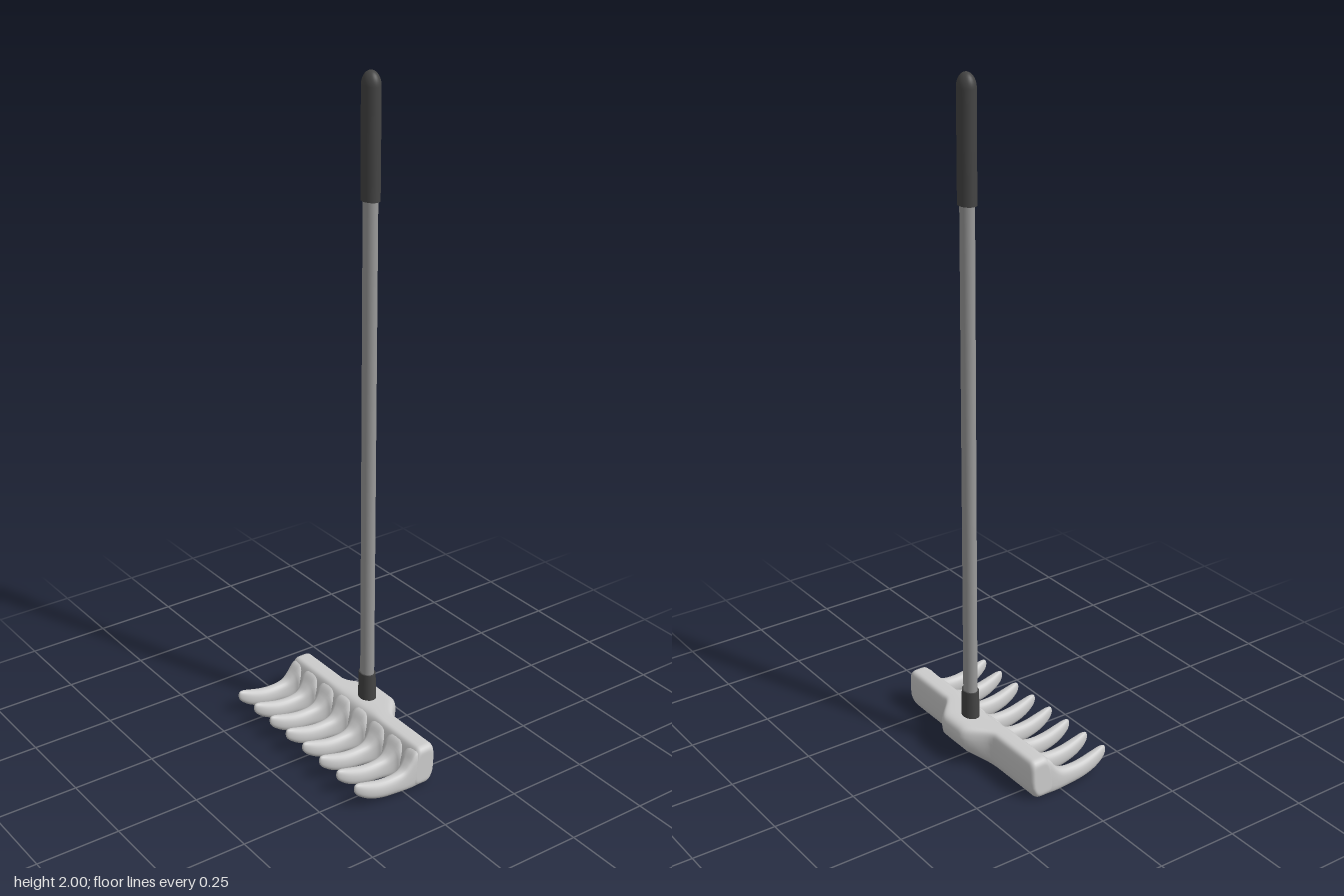
import * as THREE from 'three';

const { smoothstep, clamp } = THREE.MathUtils;
const headMat = new THREE.MeshStandardMaterial({ color: 0xcccccc });
const shaftMat = new THREE.MeshStandardMaterial({ color: 0x999999 });
const gripMat = new THREE.MeshStandardMaterial({ color: 0x444444 });

const HALF = 0.317, PITCH = 0.085, TINE_W = 0.0195, POLE_Z = -0.098;

// Skin over closed rings of equal length, smooth all round
function loft(rings) {
  const n = rings[0].length, index = [];
  for (let i = 0; i < rings.length - 1; i++) {
    for (let j = 0; j < n; j++) {
      const a = i * n + j, d = i * n + (j + 1) % n;
      index.push(a, a + n, d, a + n, d + n, d);
    }
  }
  const geo = new THREE.BufferGeometry();
  geo.setAttribute('position', new THREE.Float32BufferAttribute(rings.flat(2), 3));
  geo.setIndex(index);
  geo.computeVertexNormals();
  return geo;
}

// Points of a unit superellipse; a higher power gives a squarer shape
function oval(n, power) {
  const f = v => Math.sign(v) * Math.abs(v) ** (2 / power);
  return Array.from({ length: n }, (_, j) => {
    const a = (j / n) * Math.PI * 2;
    return [f(Math.cos(a)), f(Math.sin(a))];
  });
}

// Crossbar section at x, shrunk by s, with the socket bulge at the back
function barRing(x, s) {
  const bulge = 0.059 * (1 - smoothstep(Math.abs(x), 0.04, 0.13));
  return oval(48, 4.5).map(([c, d]) => {
    const y = 0.067 + 0.063 * d * s;
    const front = -0.028 - 0.016 * smoothstep(y, 0.05, 0.13);
    const back = -0.108 + 0.012 * (1 - smoothstep(y, 0, 0.06)) - bulge * smoothstep(y, -0.015, 0.085);
    const mid = (front + back) / 2;
    return [x, y, mid + ((front - back) / 2) * c * s];
  });
}

function crossbar() {
  const rings = [], r = 0.02, end = [[HALF, 0.001], [HALF, 0.6]];
  for (let k = 0; k <= 6; k++) {
    const a = (k / 6) * Math.PI / 2;
    end.push([HALF - r * (1 - Math.cos(a)), 1 - 0.3 * (1 - Math.sin(a))]);
  }
  end.forEach(([x, s]) => rings.push(barRing(-x, s)));
  for (let i = 1; i < 60; i++) rings.push(barRing((HALF - r) * (i / 30 - 1), 1));
  end.reverse().forEach(([x, s]) => rings.push(barRing(x, s)));
  return loft(rings);
}

// Side outline of a tine from root to tip: z, underside, upper side
const tineLine = new THREE.CatmullRomCurve3([
  [-0.07, 0.006, 0.122], [-0.044, 0.004, 0.118], [-0.022, 0.004, 0.09], [0, 0.005, 0.07],
  [0.04, 0.007, 0.064], [0.08, 0.013, 0.067], [0.12, 0.026, 0.077],
  [0.15, 0.045, 0.085], [0.161, 0.057, 0.083], [0.165, 0.071, 0.0712],
].map(p => new THREE.Vector3(...p)));

// Tine with a root that flares into its neighbours on the chosen sides
function tine(flareRight, flareLeft) {
  const rings = [];
  for (let i = 0; i <= 44; i++) {
    const p = tineLine.getPoint(i / 44), z = p.x;
    const t = clamp((0.03 - z) / 0.058, 0, 1);
    const flare = (PITCH / 2 - TINE_W) * (1 - Math.sqrt(1 - t * t));
    const u = clamp((z - 0.06) / 0.105, 0, 0.9999);
    const w = TINE_W * Math.sqrt(1 - u ** 2.5);
    const mid = (p.y + p.z) / 2, h = (p.z - p.y) / 2;
    rings.push(oval(24, 2.3 + t).map(([c, d]) => [
      c * (w + flare * (c > 0 ? flareLeft : flareRight)), mid - h * d, z,
    ]));
  }
  return loft(rings);
}

// Oval turned part on the pole axis
function turned(name, points, material) {
  const geo = new THREE.LatheGeometry(points.map(p => new THREE.Vector2(...p)), 32);
  geo.scale(1, 1, 0.78);
  const mesh = new THREE.Mesh(geo, material);
  mesh.name = name;
  mesh.position.z = POLE_Z;
  return mesh;
}

export function createModel() {
  const model = new THREE.Group();
  model.name = 'rake';

  // Head: crossbar and eight tines
  const head = new THREE.Group();
  head.name = 'head';
  const bar = new THREE.Mesh(crossbar(), headMat);
  bar.name = 'crossbar';
  head.add(bar);
  for (let i = 0; i < 8; i++) {
    const mesh = new THREE.Mesh(tine(i > 0 ? 1 : 0, i < 7 ? 1 : 0), headMat);
    mesh.name = 'tine';
    mesh.position.x = (i - 3.5) * PITCH;
    head.add(mesh);
  }
  model.add(head);

  // Collar, with a hard upper edge
  const collar = turned('collar', [[0.032, 0.1], [0.029, 0.213]], gripMat);
  const collarTop = turned('collarTop', [[0.029, 0.213], [0.022, 0.213]], gripMat);

  // Pole
  const shaft = turned('shaft', [[0.024, 0.19], [0.024, 1.68]], shaftMat);

  // Grip with a domed top
  const dome = [[0.031, 1.655], [0.031, 1.8]];
  for (let k = 0; k <= 10; k++) {
    const a = (k / 10) * Math.PI / 2;
    dome.push([0.031 * Math.cos(a), 1.96 + 0.04 * Math.sin(a)]);
  }
  const grip = turned('grip', dome, gripMat);
  const gripBase = turned('gripBase', [[0.022, 1.655], [0.031, 1.655]], gripMat);

  model.add(collar, collarTop, shaft, grip, gripBase);
  return model;
}
